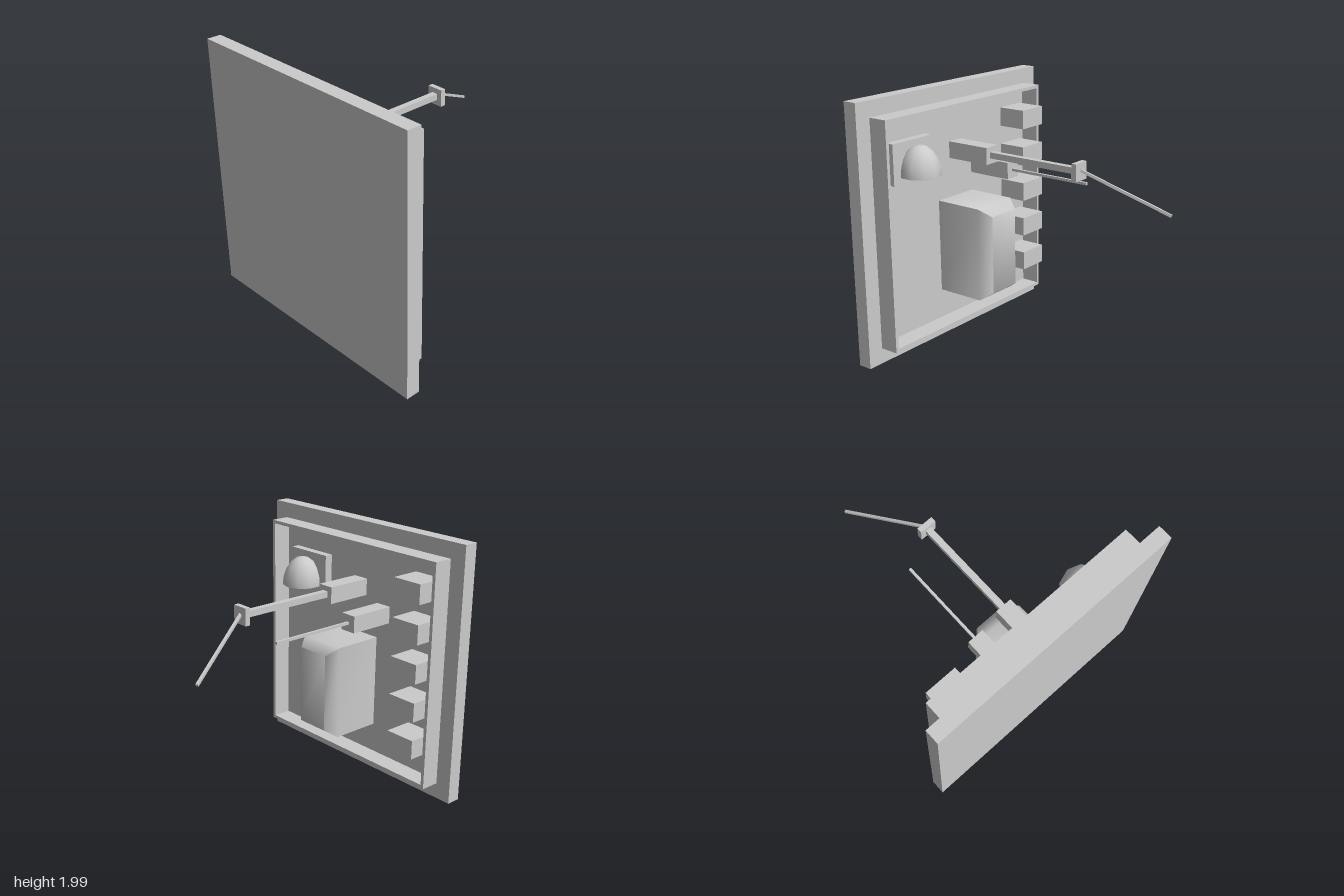
import * as THREE from 'three';
import { toCreasedNormals } from 'three/addons/utils/BufferGeometryUtils.js';

const FLOOR = -0.83; // outer face of the wall panel

export function createModel() {
  const model = new THREE.Group();
  const material = new THREE.MeshStandardMaterial({ color: 0xcccccc });

  function add(name, geometry) {
    const mesh = new THREE.Mesh(geometry, material);
    mesh.name = name;
    model.add(mesh);
    return mesh;
  }

  // Box given by its extents along each axis
  function block(name, [x0, x1], [y0, y1], [z0, z1]) {
    const mesh = add(name, new THREE.BoxGeometry(x1 - x0, y1 - y0, z1 - z0));
    mesh.position.set((x0 + x1) / 2, (y0 + y1) / 2, (z0 + z1) / 2);
    return mesh;
  }

  // Square bar between two points
  function bar(name, from, to, width) {
    const a = new THREE.Vector3(...from);
    const b = new THREE.Vector3(...to);
    const mesh = add(name, new THREE.BoxGeometry(width, width, a.distanceTo(b)));
    mesh.position.copy(a).lerp(b, 0.5);
    mesh.lookAt(b);
    return mesh;
  }

  // Wall panel
  block('wallPanel', [-0.94, FLOOR], [0, 1.99], [-1, 1]);

  // Raised square rim: outline with a hole, extruded away from the panel
  const square = (h) => [[-h, -h], [h, -h], [h, h], [-h, h]].map(([x, y]) => new THREE.Vector2(x, y));
  const rimShape = new THREE.Shape(square(0.873));
  rimShape.holes.push(new THREE.Path(square(0.847).reverse()));
  const rim = add('rim', new THREE.ExtrudeGeometry(rimShape, { depth: 0.15, bevelEnabled: false }));
  rim.rotation.y = Math.PI / 2;
  rim.position.set(FLOOR, 0.995, 0);

  // Column of buttons
  for (let i = 0; i < 5; i++) {
    const y = 0.445 + i * 0.298;
    block('button', [FLOOR, -0.6], [y - 0.075, y + 0.075], [-0.81, -0.56]);
  }

  // Domed lamp on its backing plate
  block('domePlate', [FLOOR, -0.765], [1.35, 1.66], [0.33, 0.73]);
  const dome = new THREE.Group();
  dome.name = 'dome';
  const cap = new THREE.Mesh(new THREE.SphereGeometry(0.157, 10, 5, 0, Math.PI * 2, 0, Math.PI / 2), material);
  cap.name = 'domeCap';
  cap.scale.y = 1.44;
  const base = new THREE.Mesh(new THREE.CircleGeometry(0.157, 10), material);
  base.name = 'domeBase';
  base.rotation.x = Math.PI / 2;
  dome.add(cap, base);
  dome.position.set(-0.695, 1.405, 0.527);
  model.add(dome);

  // Large housing: the outermost ring is drawn in to make a soft chamfer
  const housing = new THREE.BoxGeometry(2, 0.73, 0.39, 2, 1, 1);
  const p = housing.attributes.position;
  const ringX = [FLOOR, -0.44, -0.35];
  for (let i = 0; i < p.count; i++) {
    const ring = Math.round(p.getX(i)) + 1;
    const inset = ring === 2 ? 0.06 : 0;
    p.setXYZ(i, ringX[ring],
      p.getY(i) - Math.sign(p.getY(i)) * inset,
      p.getZ(i) - Math.sign(p.getZ(i)) * inset);
  }
  add('housing', toCreasedNormals(housing, 1.05)).position.set(0, 0.745, 0.005);

  // Jointed arm: socket, thick bar, joint plate and bent thin bar
  block('armSocket', [FLOOR, -0.46], [1.42, 1.55], [-0.065, 0.065]);
  block('armBar', [-0.46, 0.31], [1.463, 1.51], [-0.024, 0.024]);
  block('armJoint', [0.31, 0.35], [1.42, 1.55], [-0.065, 0.065]);
  bar('armTip', [0.34, 1.495, 0], [0.93, 1.195, -0.28], 0.02);

  // Straight thin rod
  block('rodSocket', [FLOOR, -0.46], [1.255, 1.385], [-0.315, -0.185]);
  block('rod', [-0.46, 0.23], [1.31, 1.33], [-0.26, -0.24]);

  return model;
}
